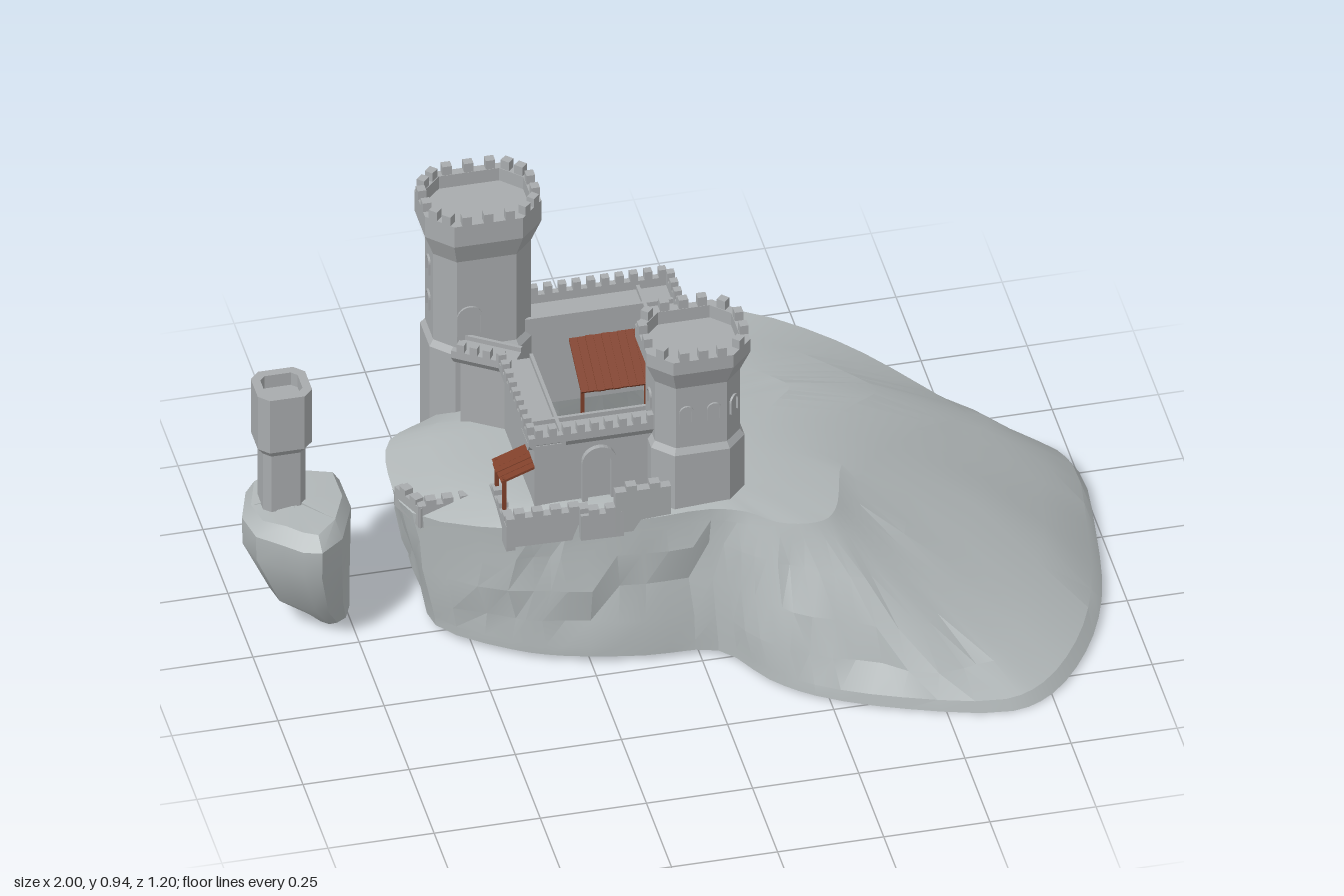
import * as THREE from 'three';
import { toCreasedNormals } from 'three/addons/utils/BufferGeometryUtils.js';

const mat = (name, color, side = THREE.FrontSide) => {
  const m = new THREE.MeshStandardMaterial({ color, side });
  m.name = name;
  return m;
};
const rock = mat('rock', 0xb0b6b7, THREE.DoubleSide);
const stone = mat('stone', 0xa8abad);
const wood = mat('wood', 0x80402a);

const { lerp, clamp } = THREE.MathUtils;
const noise = (i, j) => { const s = Math.sin(i * 12.99 + j * 78.23) * 43758.5; return s - Math.floor(s) - 0.5; };

function add(parent, name, geometry, material, x = 0, y = 0, z = 0) {
  const m = new THREE.Mesh(geometry, material);
  m.name = name;
  m.position.set(x, y, z);
  parent.add(m);
  return m;
}
const box = (parent, name, material, w, h, d, x, y, z) =>
  add(parent, name, new THREE.BoxGeometry(w, h, d), material, x, y, z);

// Skin a stack of closed rings, from the bottom outside to the top inside
function loft(rings) {
  const pos = [];
  for (let r = 0; r < rings.length - 1; r++) {
    const a = rings[r], b = rings[r + 1], n = a.length;
    for (let i = 0; i < n; i++) {
      const k = (i + 1) % n;
      for (const p of [a[i], b[i], a[k], a[k], b[i], b[k]]) pos.push(...p);
    }
  }
  const g = new THREE.BufferGeometry();
  g.setAttribute('position', new THREE.Float32BufferAttribute(pos, 3));
  g.computeVertexNormals();
  return g;
}

// Rectangle with cut corners
function octagon(cx, cz, a, b, c, y) {
  return [[a, -b + c], [a, b - c], [a - c, b], [-a + c, b], [-a, b - c], [-a, -b + c], [-a + c, -b], [a - c, -b]]
    .map(([x, z]) => [cx + x, y, cz + z]);
}

// Evenly spaced blocks along one edge
function merlons(parent, p, q, y, step, w, h, d) {
  const dx = q[0] - p[0], dz = q[1] - p[1], n = Math.max(1, Math.round(Math.hypot(dx, dz) / step));
  for (let i = 0; i < n; i++) {
    const t = (i + 0.5) / n;
    box(parent, 'merlon', stone, w, h, d, p[0] + dx * t, y + h / 2 - 0.002, p[1] + dz * t).rotation.y = Math.atan2(-dz, dx);
  }
}

// Frame of thickness t around an arched opening
function archFrame(w, h, t) {
  const s = new THREE.Shape(), o = w / 2 + t, k = h - w / 2;
  s.moveTo(-o, 0).lineTo(-o, k).absarc(0, k, o, Math.PI, 0, true).lineTo(o, 0);
  s.lineTo(w / 2, 0).lineTo(w / 2, k).absarc(0, k, w / 2, 0, Math.PI, false).lineTo(-w / 2, 0);
  return s;
}
const extrude = (shape, depth) => new THREE.ExtrudeGeometry(shape, { depth, bevelEnabled: false, curveSegments: 6 });

function archWindow(parent, x, y, z, angle, w = 0.024, h = 0.042) {
  add(parent, 'windowFrame', extrude(archFrame(w, h, 0.005), 0.005), stone, x, y, z).rotation.y = angle;
}

// Tower with wider base, flared head, parapet and sunken deck
function tower(parent, name, { x, z, a, b, c, y0, foot = 0.01, flare, band, top, step = 0.55, grow = 0.022, teeth = true }) {
  const g = new THREE.Group();
  g.name = name;
  const ring = (d, y) => octagon(x, z, a + d, b + d, c + d * 0.5, y);
  const rim = teeth ? top - 0.024 : top;
  add(g, 'towerBody', loft([
    ring(foot, y0), ring(foot, step), ring(0, step + 0.015), ring(0, flare), ring(grow, band), ring(grow, rim),
    ring(grow - 0.02, rim), ring(grow - 0.02, rim - 0.035), octagon(x, z, 0, 0, 0, rim - 0.035),
  ]), stone);
  if (teeth) {
    const edge = ring(grow - 0.009, 0);
    edge.forEach((p, i) => {
      const q = edge[(i + 1) % 8];
      merlons(g, [p[0], p[2]], [q[0], q[2]], rim, 0.045, 0.022, 0.026, 0.02);
    });
  }
  parent.add(g);
  return g;
}

// Curtain wall from p to q, outside on local +z, with an optional gate
function wall(parent, name, p, q, gate) {
  const dx = q[0] - p[0], dz = q[1] - p[1], L = Math.hypot(dx, dz), y0 = 0.35, T = 0.07;
  const g = new THREE.Group();
  g.name = name;
  g.position.set(p[0], 0, p[1]);
  g.rotation.y = Math.atan2(-dz, dx);
  const s = new THREE.Shape();
  s.moveTo(0, y0);
  if (gate) {
    const { at, w, h, open } = gate, r = w / 2;
    if (open) s.lineTo(at - r, y0).lineTo(at - r, h - r).absarc(at, h - r, r, Math.PI, 0, true).lineTo(at + r, y0);
    add(g, 'gateFrame', extrude(archFrame(w, h - 0.38, 0.013), 0.012), stone, at, 0.38, 0);
  }
  s.lineTo(L, y0).lineTo(L, 0.57).lineTo(0, 0.57);
  add(g, 'wallBody', extrude(s, T), stone, 0, 0, -T);
  // Corbelled walk and parapet, as a cross-section swept along the wall
  const section = new THREE.Shape([[-T, 0.565], [0, 0.565], [0.017, 0.588], [0.017, 0.608], [0.001, 0.608], [0.001, 0.585],
    [-T + 0.008, 0.585], [-T + 0.008, 0.597], [-T, 0.597]].map(([u, y]) => new THREE.Vector2(-u, y)));
  add(g, 'parapet', extrude(section, L + 0.034), stone, -0.017).rotation.y = Math.PI / 2;
  merlons(g, [-0.01, 0.009], [L + 0.01, 0.009], 0.608, 0.034, 0.018, 0.024, 0.018);
  parent.add(g);
}

// Sloping plank roof, along z from low to high
function planks(parent, name, x0, x1, z0, z1, y0, y1, n) {
  const w = (x1 - x0) / n;
  for (let i = 0; i < n; i++) {
    const cut = noise(i, n) * 0.01;
    box(parent, name, wood, w * 0.97, 0.006, Math.hypot(z1 - z0, y1 - y0) + cut, x0 + w * (i + 0.5), (y0 + y1) / 2 + cut * 0.3, (z0 + z1) / 2)
      .rotation.x = -Math.atan2(y1 - y0, z1 - z0);
  }
}

function lowWall(parent, p, q, y0, y1) {
  const dx = q[0] - p[0], dz = q[1] - p[1], L = Math.hypot(dx, dz);
  box(parent, 'lowWall', stone, L + 0.02, y1 - y0, 0.022, (p[0] + q[0]) / 2, (y0 + y1) / 2, (p[1] + q[1]) / 2)
    .rotation.y = Math.atan2(-dz, dx);
  merlons(parent, p, q, y1, 0.045, 0.024, 0.016, 0.022);
}

// Hill: foot x, foot z, then brow x, z, y, running left, back, right, front
const HILL = [
  [-.57, -.15, -.64, -.18, .34], [-.57, -.27, -.61, -.29, .35], [-.54, -.36, -.52, -.33, .36], [-.5, -.49, -.46, -.36, .36],
  [-.41, -.54, -.36, -.4, .36], [-.23, -.53, -.22, -.45, .37], [-.05, -.56, -.05, -.49, .39], [.14, -.6, .13, -.565, .39],
  [.33, -.57, .28, -.53, .39], [.57, -.5, .48, -.46, .325], [.78, -.41, .65, -.37, .24], [.95, -.33, .74, -.29, .195],
  [1, -.23, .65, -.2, .245], [.985, 0, .47, -.05, .335], [.94, .25, .37, .07, .375], [.86, .43, .34, .17, .38],
  [.75, .56, .32, .23, .38], [.65, .6, .29, .27, .38], [.41, .54, .24, .285, .385], [.22, .45, .17, .27, .39],
  [.13, .37, .11, .23, .4], [.04, .24, .03, .2, .4], [-.13, .22, -.13, .19, .39], [-.31, .18, -.3, .16, .38],
  [-.42, .13, -.42, .13, .37], [-.57, 0, -.62, -.02, .34],
];
function hill() {
  const curve = f => new THREE.CatmullRomCurve3(HILL.map(f), true);
  const foot = curve(r => new THREE.Vector3(r[0], 0.025 - 0.05 * Math.max(0, r[1]) ** 2, r[1]));
  const brow = curve(r => new THREE.Vector3(r[2], r[4], r[3]));
  const N = 78, rings = [];
  const at = (c, i) => c.getPoint(i / N);
  const ring = f => rings.push(Array.from({ length: N }, (_, i) => f(at(foot, i), at(brow, i), i)));
  for (const t of [0, 0.04, 0.25, 0.5, 0.75, 0.92, 1]) ring((f, b, i) => {
    const run = Math.hypot(f.x - b.x, f.z - b.z), k = Math.floor(i / 2);
    const amp = t > 0.1 && t < 0.9 ? 0.022 : 0;
    // Convex flank to the right, hollow flank to the front
    const bend = Math.min(0.03, run * 0.06) * clamp((0.4 - f.z) * 5, -1, 1);
    const lift = t === 0.04 ? 0.012 : Math.sin(Math.PI * t) * bend;
    return [lerp(f.x, b.x, t) + noise(k, t) * amp, lerp(f.y, b.y, t) + lift, lerp(f.z, b.z, t) + noise(t, k) * amp];
  });
  // The plateau ends in an opening under the courtyard walls
  const hole = b => {
    const x = b.x + 0.14, z = b.z + 0.16, s = 1 / Math.max(Math.abs(x) / 0.175, Math.abs(z) / 0.225);
    return [-0.14 + x * s, 0.405, -0.16 + z * s];
  };
  ring((f, b) => { const h = hole(b); return [lerp(b.x, h[0], 0.3), lerp(b.y, 0.408, 0.6), lerp(b.z, h[2], 0.3)]; });
  ring((f, b) => { const h = hole(b); return [lerp(b.x, h[0], 0.6), lerp(b.y, 0.408, 0.92), lerp(b.z, h[2], 0.6)]; });
  ring((f, b) => hole(b));
  return toCreasedNormals(loft(rings), 0.28);
}

// Tapered crag beside the hill
function crag() {
  const rim = [[-1, -.13], [-.97, -.22], [-.9, -.26], [-.82, -.235], [-.745, -.22], [-.745, -.1], [-.79, .005], [-.85, .055], [-.89, .035], [-.93, .0], [-.985, -.05]];
  const ring = (s, y, cx, cz, j) => rim.map(([x, z], i) => [cx + (x + 0.875) * s, y + noise(i, j) * 0.012, cz + (z + 0.11) * s]);
  return toCreasedNormals(loft([ring(0, .03, -.8, -.12, 1), ring(.42, .03, -.8, -.12, 2), ring(.72, .1, -.84, -.12, 3),
    ring(.97, .24, -.873, -.11, 4), ring(.98, .315, -.873, -.11, 5), ring(.82, .345, -.87, -.12, 6), ring(0, .35, -.88, -.12, 7)]), 0.5);
}

export function createModel() {
  const root = new THREE.Group();
  root.name = 'cliffCastle';
  add(root, 'hill', hill(), rock);
  add(root, 'crag', crag(), rock);

  // Towers
  const keep = tower(root, 'tallTower', { x: -.375, z: -.405, a: .115, b: .087, c: .045, y0: .05, flare: .81, band: .87, top: .952 });
  const front = tower(root, 'frontTower', { x: .016, z: .083, a: .1, b: .087, c: .04, y0: .35, flare: .735, band: .79, top: .85 });
  tower(root, 'watchTower', { x: -.9, z: -.14, a: .05, b: .044, c: .016, y0: .3, foot: 0, step: .4, flare: .5, band: .52, top: .67, grow: .014, teeth: false });
  for (const y of [.63, .73]) {
    for (const dx of [-.035, .035]) archWindow(keep, -.375 + dx, y, -.492, Math.PI);
    archWindow(keep, -.49, y, -.405, -Math.PI / 2);
    archWindow(keep, -.2825, y, -.4695, Math.PI * 0.75);
  }
  archWindow(keep, -.415, .6, -.318, 0, .05, .075);
  for (const dx of [-.035, .03]) archWindow(front, .016 + dx, .635, .17, 0);
  archWindow(front, .116, .635, .083, Math.PI / 2);
  archWindow(front, .096, .635, .15, Math.PI / 4);
  archWindow(front, -.084, .635, .083, -Math.PI / 2);

  // Curtain walls around the courtyard
  wall(root, 'frontWall', [-.36, .1], [-.05, .1], { at: .15, w: .055, h: .54 });
  wall(root, 'rightWall', [.07, .02], [.07, -.415], { at: .16, w: .09, h: .545, open: true });
  wall(root, 'backWall', [.07, -.415], [-.28, -.415]);
  wall(root, 'leftWall', [-.36, -.2], [-.36, .1]);
  wall(root, 'angledWall', [-.45, -.26], [-.36, -.2]);
  box(root, 'gateDoor', wood, .06, .13, .008, -.005, .465, -.1);

  // Underside of the foundation
  add(root, 'foundation', new THREE.PlaneGeometry(.3, .39), stone, -.145, .36, -.16).rotation.x = Math.PI / 2;

  // Lean-to roofs in the courtyard
  planks(root, 'leanToRoof', -.295, -.125, -.12, .03, .47, .52, 9);
  planks(root, 'leanToRoof', -.125, -.005, -.08, .03, .45, .5, 7);
  planks(root, 'backRoof', -.175, -.005, -.22, -.355, .46, .53, 9);
  for (const [x, z, h] of [[-.28, -.11, .47], [-.135, -.11, .47], [-.17, -.23, .46], [-.02, -.23, .46]])
    box(root, 'roofPost', wood, .008, h - .38, .008, x, (h + .38) / 2, z);

  // Awning outside the left wall
  const awning = new THREE.Group();
  awning.name = 'awning';
  awning.position.set(-.4, 0, .055);
  awning.rotation.y = Math.PI / 2;
  planks(awning, 'awningRoof', -.045, .045, -.04, .045, .483, .515, 5);
  for (const x of [-.038, .038]) box(awning, 'awningPost', wood, .008, .13, .008, x, .425, -.03);
  root.add(awning);

  // Low walls along the cliff edge
  lowWall(root, [-.43, .15], [-.26, .155], .34, .42);
  lowWall(root, [-.26, .175], [-.18, .178], .35, .42);
  lowWall(root, [-.18, .178], [-.07, .18], .36, .475);
  lowWall(root, [-.26, .155], [-.26, .175], .35, .42);
  lowWall(root, [-.43, .15], [-.43, .0], .33, .4);
  lowWall(root, [-.6, -.01], [-.44, -.01], .31, .37);
  lowWall(root, [-.63, -.09], [-.6, -.01], .31, .365);
  return root;
}
